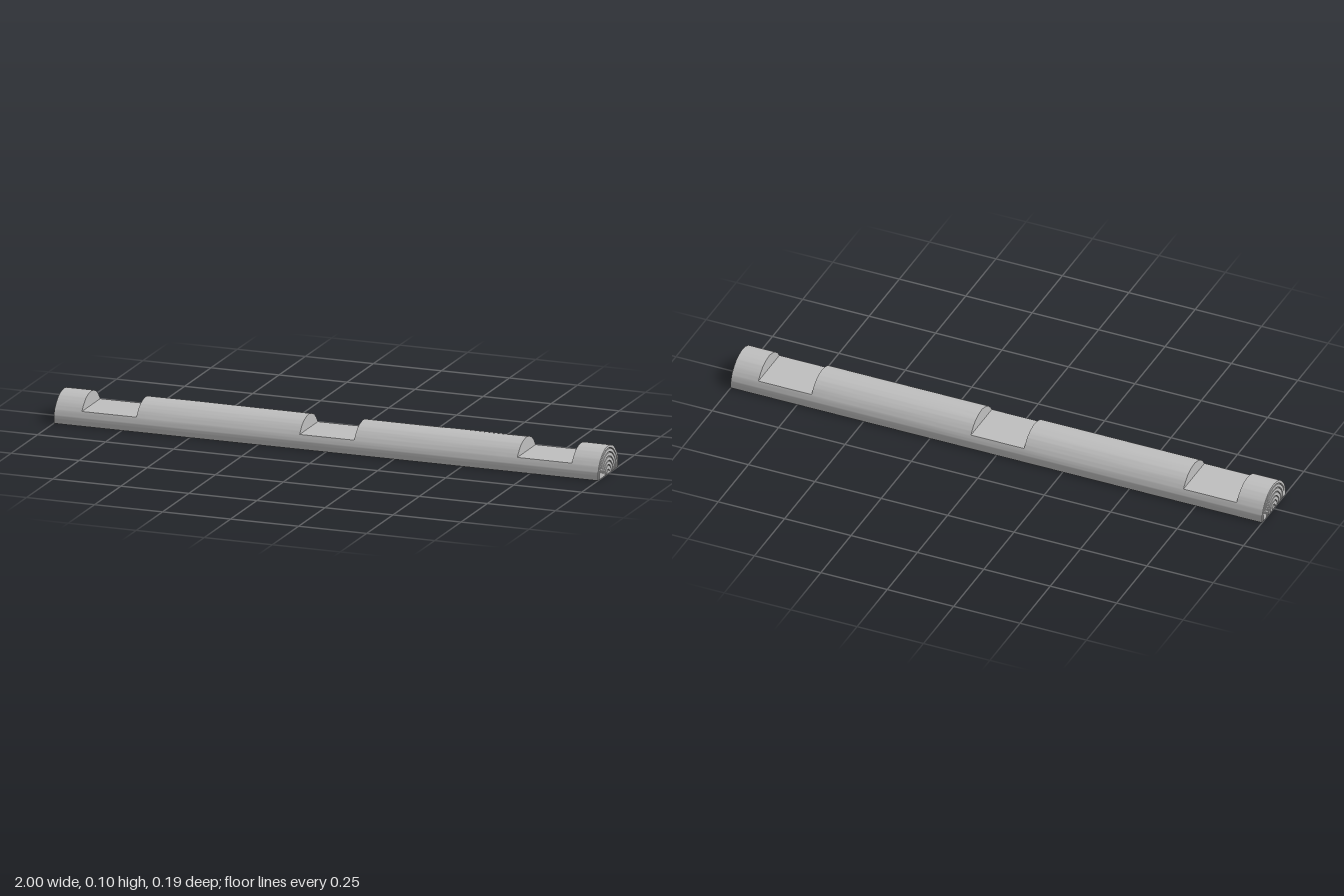
import * as THREE from 'three';
import { toCreasedNormals } from 'three/addons/utils/BufferGeometryUtils.js';

const RADIUS = 0.1, HALF_WIDTH = 0.096, NOTCH_FLOOR = 0.05, STEPS = 60;

// Shallow wood grain running along the log
function grain(x, a) {
  const wave = Math.sin(a * 17 + 2 * Math.sin(x * 5)) * Math.sin(x * 9 + a * 7);
  return -0.0012 * Math.abs(Math.sin(6 * a)) * (0.5 + 0.5 * wave);
}

// Half-round cross-section at one station, optionally cut down to the notch floor
function section({ x, scale = 1, cut = false }) {
  const points = [];
  for (let j = 0; j <= STEPS; j++) {
    const a = (j / STEPS) * Math.PI;
    const r = RADIUS + grain(x, a);
    const z = THREE.MathUtils.clamp(r * Math.cos(a), -HALF_WIDTH, HALF_WIDTH);
    let y = r * Math.sin(a);
    if (cut && j >= STEPS / 6 && j <= STEPS * 5 / 6) y = NOTCH_FLOOR;
    points.push(new THREE.Vector3(x, y * scale, z * scale));
  }
  return points;
}

// Skin between consecutive stations, ordered from -x to +x
function loft(stations, closeBottom) {
  const rows = stations.map(section);
  const positions = [];
  const triangle = (...corners) => {
    if (new THREE.Triangle(...corners).getArea() < 1e-9) return;
    corners.forEach((p) => positions.push(p.x, p.y, p.z));
  };
  for (let i = 0; i < rows.length - 1; i++) {
    const count = closeBottom ? STEPS + 1 : STEPS;
    for (let j = 0; j < count; j++) {
      const k = (j + 1) % (STEPS + 1);
      triangle(rows[i][j], rows[i + 1][j], rows[i + 1][k]);
      triangle(rows[i][j], rows[i + 1][k], rows[i][k]);
    }
  }
  const geometry = new THREE.BufferGeometry();
  geometry.setAttribute('position', new THREE.Float32BufferAttribute(positions, 3));
  return toCreasedNormals(geometry, 0.5);
}

// Stations every 0.05, doubled at notch ends to make upright walls
function bodyStations() {
  const stations = [];
  const edges = [-1, -0.9, -0.7, -0.1, 0.1, 0.7, 0.9, 1];
  for (let e = 0; e < edges.length - 1; e++) {
    const from = edges[e], length = edges[e + 1] - from;
    const n = Math.round(length / 0.05);
    for (let i = 0; i <= n; i++) {
      stations.push({ x: from + (length * i) / n, cut: e % 2 === 1 });
    }
  }
  return stations;
}

// Growth rings cut as narrow grooves into an end face
function endStations(side) {
  const stations = [{ x: side }];
  for (const s of [0.89, 0.75, 0.6, 0.45, 0.3, 0.14]) {
    stations.push(
      { x: side, scale: s + 0.018 },
      { x: side * 0.996, scale: s },
      { x: side, scale: s - 0.018 },
    );
  }
  stations.push({ x: side, scale: 0 });
  return side > 0 ? stations : stations.reverse();
}

export function createModel() {
  const group = new THREE.Group();
  group.name = 'notchedHalfLog';
  const wood = new THREE.MeshStandardMaterial({ color: 0xc0c0c0 });
  wood.name = 'paleGreyWood';

  const add = (name, geometry) => {
    const mesh = new THREE.Mesh(geometry, wood);
    mesh.name = name;
    group.add(mesh);
  };
  add('logBody', loft(bodyStations(), true));
  add('leftEndGrain', loft(endStations(1), false));
  add('rightEndGrain', loft(endStations(-1), false));
  return group;
}
